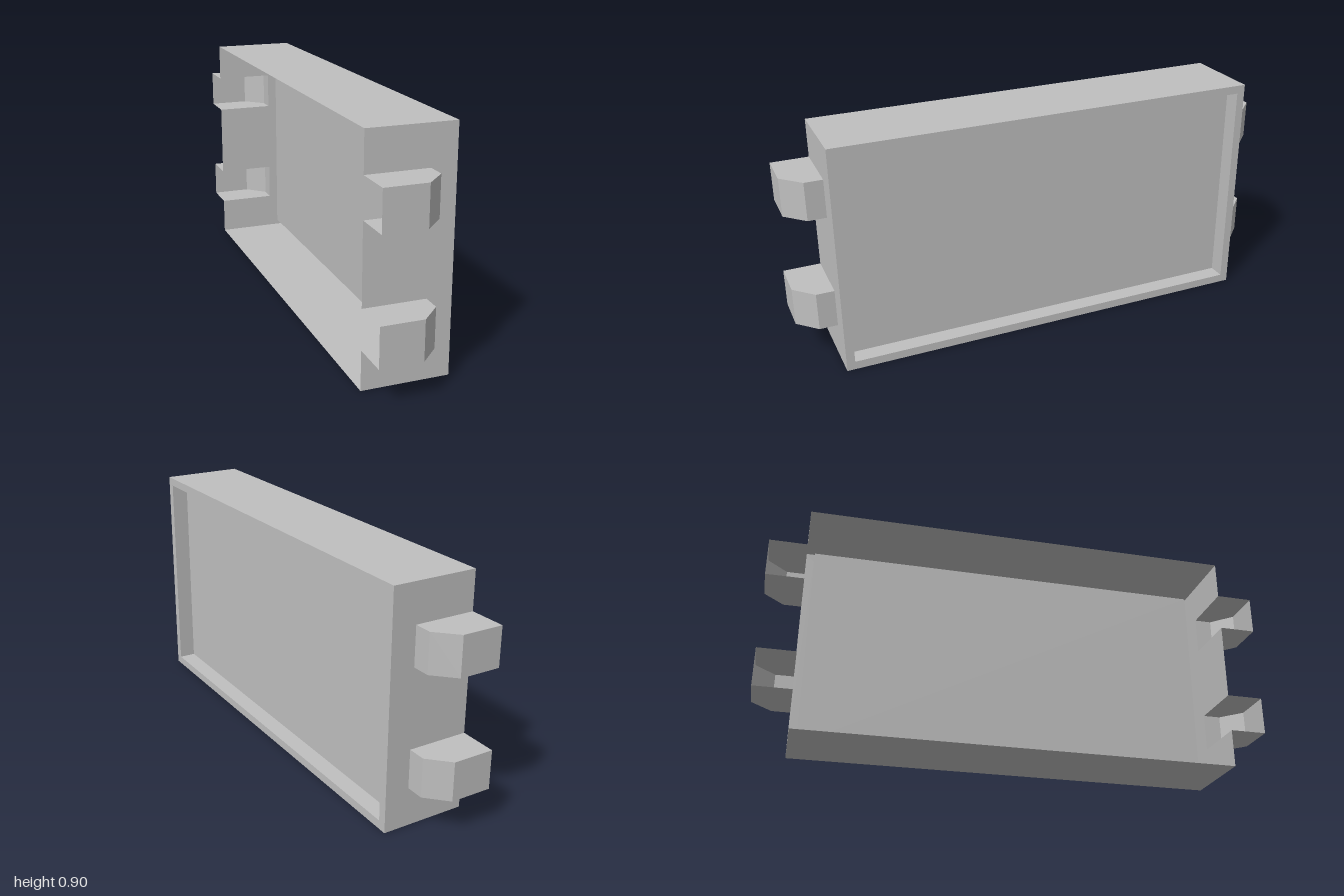
import * as THREE from 'three';

// Overall size of the thin open-backed shell
const X = 0.165, H = 0.905, Z = 0.855;
const RIM = 0.033, PANEL_X = 0.097;
const HOOK_BASES = [0.15, 0.605], HOOK_H = 0.15, HOOK_X = 0.07;

// Flat-faced strip of quads between two point rows
function ribbon(a, b) {
  const pos = [];
  for (let i = 0; i < a.length - 1; i++) {
    for (const p of [a[i], a[i + 1], b[i + 1], a[i], b[i + 1], b[i]]) pos.push(...p);
  }
  const g = new THREE.BufferGeometry();
  g.setAttribute('position', new THREE.Float32BufferAttribute(pos, 3));
  g.computeVertexNormals();
  return g;
}

// Closed rectangle in the yz plane, inset from the shell outline
function rect(x, d) {
  const z = Z - d;
  return [[x, d, -z], [x, H - d, -z], [x, H - d, z], [x, d, z], [x, d, -z]];
}

export function createModel() {
  const root = new THREE.Group();
  root.name = 'clipOnCover';
  const plastic = new THREE.MeshStandardMaterial({ color: 0xc0c0c0, side: THREE.DoubleSide });
  plastic.name = 'greyPlastic';

  const add = (parent, name, geometry) => {
    const mesh = new THREE.Mesh(geometry, plastic);
    mesh.name = name;
    parent.add(mesh);
    return mesh;
  };

  // Long walls
  add(root, 'topWall', ribbon([[-X, H, -Z], [-X, H, Z]], [[X, H, -Z], [X, H, Z]]));
  add(root, 'bottomWall', ribbon([[-X, 0, -Z], [X, 0, -Z]], [[-X, 0, Z], [X, 0, Z]]));

  // Face rim, recess sides and sunken panel
  add(root, 'rim', ribbon(rect(X, 0), rect(X, RIM)));
  add(root, 'recessSides', ribbon(rect(X, RIM), rect(PANEL_X, RIM)));
  const p = rect(PANEL_X, RIM);
  add(root, 'panel', ribbon([p[0], p[1]], [p[3], p[2]]));

  // End wall outline, notched where the hollow hooks open into the shell
  const outline = new THREE.Shape();
  outline.moveTo(-X, 0);
  outline.lineTo(X, 0);
  outline.lineTo(X, H);
  outline.lineTo(-X, H);
  for (const y of [...HOOK_BASES].reverse()) {
    outline.lineTo(-X, y + HOOK_H);
    outline.lineTo(HOOK_X, y + HOOK_H);
    outline.lineTo(HOOK_X, y);
    outline.lineTo(-X, y);
  }

  // Chamfered hook profile as [x, z]
  const profile = [[-X, 1], [-0.005, 1], [HOOK_X, 0.925], [HOOK_X, Z]];

  for (const side of [1, -1]) {
    const end = new THREE.Group();
    end.name = side > 0 ? 'frontEnd' : 'backEnd';
    end.scale.z = side;
    root.add(end);
    add(end, 'endWall', new THREE.ShapeGeometry(outline)).position.z = Z;

    for (const base of HOOK_BASES) {
      const hook = new THREE.Group();
      hook.name = 'hook';
      end.add(hook);
      const row = (y) => profile.map(([x, z]) => [x, y, z]);
      const edge = (y) => profile.slice(0, 3).map(([x, z]) => [x, y, z]);
      const foot = (y) => profile.slice(0, 3).map(([x]) => [x, y, Z]);
      const top = base + HOOK_H;
      add(hook, 'hookSkin', ribbon(row(base), row(top)));
      add(hook, 'hookTop', ribbon(edge(top), foot(top)));
      add(hook, 'hookBottom', ribbon(foot(base), edge(base)));
    }
  }
  return root;
}
